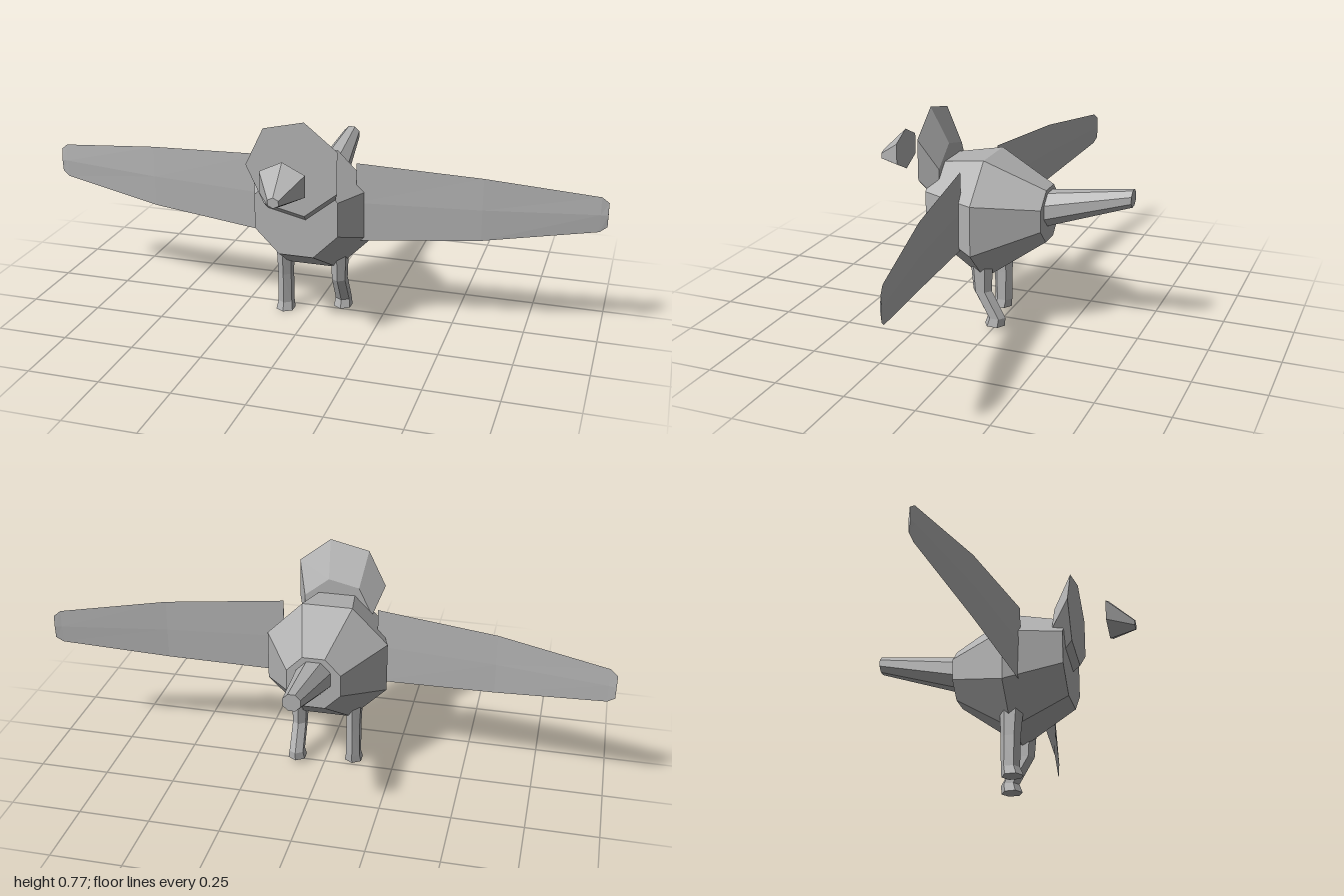
import * as THREE from 'three';

const TAU = Math.PI * 2;

// Skins a list of equal-sized rings; each ring runs counter-clockwise seen from the first end.
function loft(name, rings, material) {
  const pos = [];
  const tri = (a, b, c) => pos.push(...a, ...b, ...c);
  const n = rings[0].length;
  for (let r = 0; r < rings.length - 1; r++) {
    const A = rings[r], B = rings[r + 1];
    for (let i = 0; i < n; i++) {
      const j = (i + 1) % n;
      tri(A[i], B[i], B[j]);
      tri(A[i], B[j], A[j]);
    }
  }
  const first = rings[0], last = rings[rings.length - 1];
  for (let i = 1; i < n - 1; i++) {
    tri(first[0], first[i], first[i + 1]);
    tri(last[0], last[i + 1], last[i]);
  }
  const geometry = new THREE.BufferGeometry();
  geometry.setAttribute('position', new THREE.Float32BufferAttribute(pos, 3));
  geometry.computeVertexNormals();
  const mesh = new THREE.Mesh(geometry, material);
  mesh.name = name;
  return mesh;
}

// Polygon facing +z: centre height, depth, radii, side count, start angle.
function ringZ(y, z, rx, ry, sides, start) {
  return Array.from({ length: sides }, (_, i) => {
    const a = start + (i / sides) * TAU;
    return [Math.cos(a) * rx, y + Math.sin(a) * ry, z];
  });
}

// Hexagon facing +y, used for the legs.
function ringY(x, y, z, rx, rz) {
  return Array.from({ length: 6 }, (_, i) => {
    const a = Math.PI / 6 + (i / 6) * TAU;
    return [x + (Math.cos(a) * rx) / 0.866, y, z - Math.sin(a) * rz];
  });
}

export function createModel() {
  const group = new THREE.Group();
  const grey = new THREE.MeshStandardMaterial({ color: 0xb2b2b2 });
  grey.flatShading = true;
  const add = (name, rings) => group.add(loft(name, rings, grey));
  const octagon = (y, z, r) => ringZ(y, z, r, r, 8, TAU / 16);

  // Faceted barrel body and tapering tail
  add('body', [octagon(0.435, 0.235, 0.157), octagon(0.396, 0.04, 0.234), octagon(0.421, -0.17, 0.102)]);
  add('tail', [octagon(0.44, -0.165, 0.065), octagon(0.513, -0.467, 0.032)]);

  // Seven-sided head, leaning forward and up
  add('head', [
    ringZ(0.607, 0.259, 0.166, 0.166, 7, Math.PI),
    ringZ(0.515, 0.195, 0.13, 0.13, 7, Math.PI),
  ]);

  // Beak, set apart ahead of the head
  add('beak', [
    ringZ(0.562, 0.467, 0.021, 0.018, 6, TAU / 12),
    ringZ(0.594, 0.376, 0.089, 0.074, 6, TAU / 12),
  ]);

  // Thin swept wings: x, top, bottom, z from tip to root
  const wing = [
    [1.0, 0.495, 0.41, -0.027],
    [0.975, 0.515, 0.392, -0.021],
    [0.594, 0.562, 0.341, 0.045],
    [0.17, 0.59, 0.31, 0.092],
  ];
  const sections = wing.map(([x, top, bottom, z]) => {
    const mid = (top + bottom) / 2;
    return [[x, top, z], [x, mid, z + 0.004], [x, bottom, z], [x, mid, z - 0.002]];
  });
  add('leftWing', sections);
  add('rightWing', sections.map((s) => s.map(([x, y, z]) => [-x, y, z]).reverse()));

  // Legs: height, depth, half width, half depth from hip to foot
  const leg = (name, x, steps) => add(name, steps.map(([y, z, rx, rz]) => ringY(x, y, z, rx, rz)));
  leg('leftLeg', 0.1, [
    [0.25, 0.045, 0.027, 0.042],
    [0.14, 0.042, 0.024, 0.035],
    [0.045, -0.011, 0.025, 0.033],
    [0.015, -0.005, 0.03, 0.038],
  ]);
  leg('rightLeg', -0.1, [
    [0.25, 0.045, 0.027, 0.042],
    [0.14, 0.041, 0.024, 0.035],
    [0.03, 0.04, 0.025, 0.033],
    [0.0, 0.047, 0.03, 0.038],
  ]);

  return group;
}
